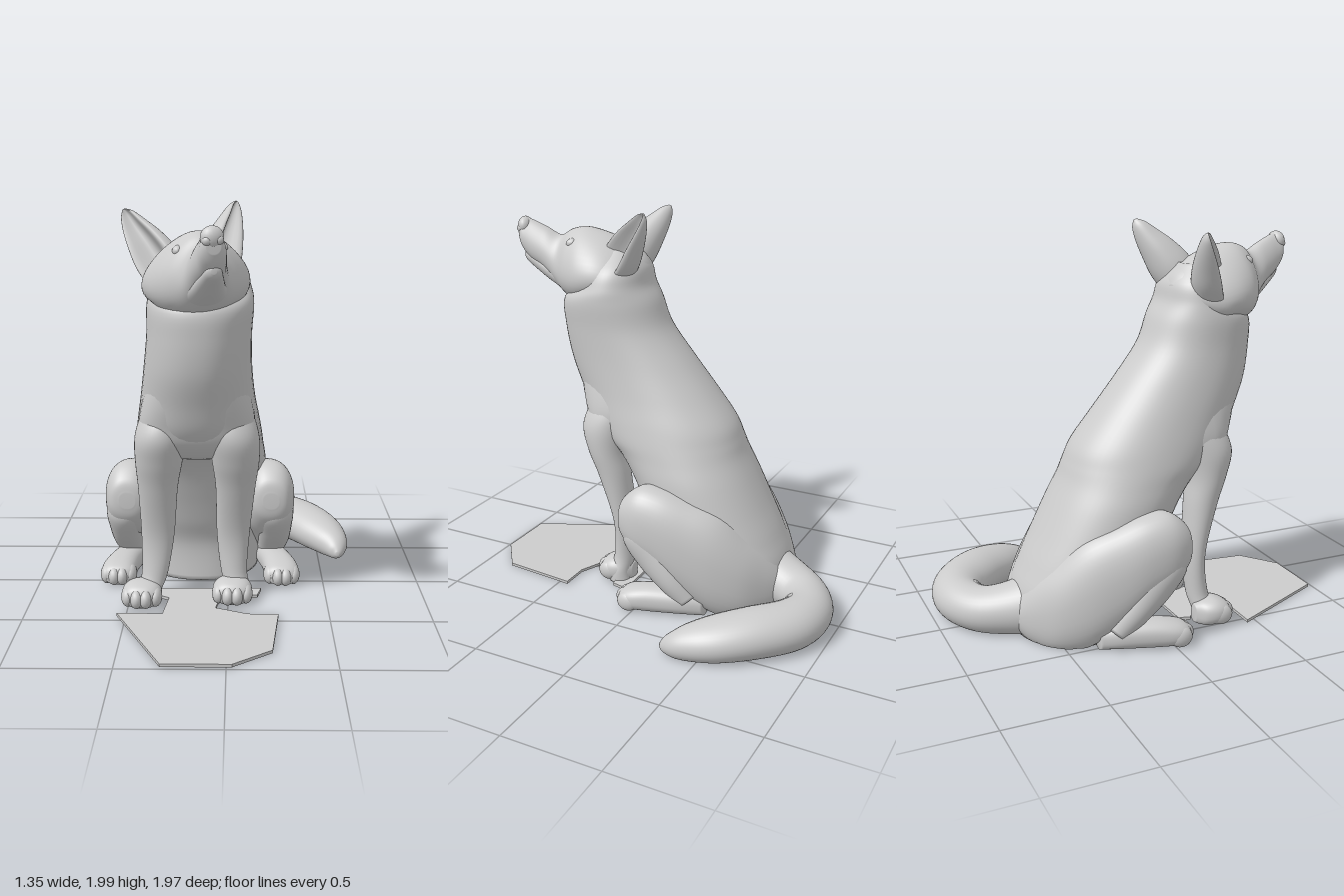
import * as THREE from 'three';

const CX = -0.15; // middle plane of the body
const X = new THREE.Vector3(1, 0, 0);
const Y = new THREE.Vector3(0, 1, 0);
const Z = new THREE.Vector3(0, 0, 1);
const material = new THREE.MeshStandardMaterial({ color: 0xcccccc });

function spline(a, b, c, d, t) {
  return 0.5 * (2 * b + (c - a) * t + (2 * a - 5 * b + 4 * c - d) * t * t + (3 * b - a - 3 * c + d) * t * t * t);
}

// Smooth skin over rings [x, y, z, a, b]: a runs along u, b along v.
// Without u, the rings follow a level path. floor flattens the underside,
// power below 1 squares the rings, dent hollows the +v side.
function loft(name, rows, { u, v = Y, taper = 0, dent = 0, power = 1, floor = 0, steps = 6, sides = 40 } = {}) {
  const rings = [];
  const last = rows.length - 1;
  for (let i = 0; i <= last * steps; i++) {
    const k = Math.min(Math.floor(i / steps), last - 1);
    const t = i / steps - k;
    const r = [-1, 0, 1, 2].map((o) => rows[Math.min(Math.max(k + o, 0), last)]);
    rings.push(r[0].map((_, c) => spline(r[0][c], r[1][c], r[2][c], r[3][c], t)));
  }
  const centres = rings.map((r) => new THREE.Vector3(r[0], r[1], r[2]));
  const pos = [];
  const index = [];
  const put = (p) => pos.push(p.x, Math.max(p.y, floor), p.z);
  const bulge = (n) => Math.sign(n) * Math.abs(n) ** power;
  let facing = 0;
  rings.forEach((r, i) => {
    const dir = centres[Math.min(i + 1, rings.length - 1)].clone().sub(centres[Math.max(i - 1, 0)]);
    const side = u || dir.clone().cross(Y).normalize();
    facing += side.clone().cross(v).dot(dir);
    const a = Math.max(r[3], 0.001);
    const b = Math.max(r[4], 0.001);
    for (let j = 0; j < sides; j++) {
      const ang = (j / sides) * Math.PI * 2;
      const s = bulge(Math.sin(ang));
      const depth = s > 0 ? s - dent * s ** 4 : s;
      put(centres[i].clone().addScaledVector(side, a * bulge(Math.cos(ang)) * (1 - taper * s)).addScaledVector(v, b * depth));
    }
  });
  const tri = (p, q, r) => (facing > 0 ? index.push(p, q, r) : index.push(p, r, q));
  for (let i = 0; i < rings.length - 1; i++) {
    for (let j = 0; j < sides; j++) {
      const p = i * sides + j;
      const q = i * sides + ((j + 1) % sides);
      tri(p, q, p + sides);
      tri(q, q + sides, p + sides);
    }
  }
  // end caps
  const end = rings.length * sides;
  put(centres[0]);
  put(centres[rings.length - 1]);
  for (let j = 0; j < sides; j++) {
    const n = (j + 1) % sides;
    tri(end, n, j);
    tri(end + 1, end - sides + j, end - sides + n);
  }
  const geo = new THREE.BufferGeometry();
  geo.setAttribute('position', new THREE.Float32BufferAttribute(pos, 3));
  geo.setIndex(index);
  geo.computeVertexNormals();
  const mesh = new THREE.Mesh(geo, material);
  mesh.name = name;
  return mesh;
}

function ball(name, x, y, z, rx, ry, rz) {
  const mesh = new THREE.Mesh(new THREE.SphereGeometry(1, 20, 14), material);
  mesh.scale.set(rx, ry, rz);
  mesh.position.set(x, y, z);
  mesh.name = name;
  return mesh;
}

// Four toes in an arc at the front of a paw
function toes(group, x, z, width) {
  for (let i = 0; i < 4; i++) {
    const o = (i - 1.5) / 1.5;
    group.add(ball('toe', x + o * width, 0.051, z - 0.03 * o * o, 0.034, 0.051, 0.058));
  }
}

function makeHead() {
  const head = new THREE.Group();
  head.name = 'head';
  const local = { u: X, floor: -1 };
  head.add(loft('skull', [
    [0, -0.04, -0.24, 0.04, 0.03], [0, -0.04, -0.2, 0.14, 0.09], [0, -0.04, -0.1, 0.22, 0.155],
    [0, -0.02, 0, 0.242, 0.175], [0, -0.015, 0.1, 0.222, 0.192], [0, -0.012, 0.18, 0.168, 0.176],
    [0, -0.005, 0.245, 0.108, 0.135], [0, 0.052, 0.32, 0.08, 0.113], [0, 0.096, 0.4, 0.064, 0.104],
    [0, 0.132, 0.45, 0.054, 0.083], [0, 0.15, 0.472, 0.03, 0.05],
  ], { ...local, taper: 0.3 }));
  head.add(loft('lowerJaw', [
    [0, 0.026, 0.445, 0.012, 0.012], [0, 0.02, 0.43, 0.036, 0.032], [0, -0.012, 0.375, 0.054, 0.044],
    [0, -0.06, 0.29, 0.078, 0.055], [0, -0.1, 0.19, 0.115, 0.065], [0, -0.1, 0.08, 0.15, 0.06],
  ], local));
  head.add(ball('nose', 0, 0.168, 0.445, 0.052, 0.05, 0.038));
  for (const s of [-1, 1]) {
    head.add(ball('nostril', s * 0.025, 0.157, 0.46, 0.022, 0.022, 0.022));
    const eye = ball('eye', s * 0.098, 0.098, 0.15, 0.026, 0.026, 0.036);
    eye.rotation.y = s * 0.4;
    head.add(eye);
    // ear: pointed leaf, hollow on its front and rounded behind
    const base = new THREE.Vector3(s * 0.13, -0.09, -0.1).normalize();
    const axis = new THREE.Vector3(s * 0.12, 0.23, -0.14).normalize();
    const front = base.clone().cross(axis).normalize();
    if (front.z < 0) front.negate();
    head.add(loft('ear', [
      [s * 0.125, -0.03, -0.075, 0.1, 0.11], [s * 0.16, 0.05, -0.12, 0.108, 0.105],
      [s * 0.2, 0.13, -0.17, 0.09, 0.085], [s * 0.238, 0.2, -0.22, 0.062, 0.056],
      [s * 0.262, 0.25, -0.253, 0.036, 0.03], [s * 0.275, 0.275, -0.268, 0.008, 0.007],
    ], { u: base, v: front, dent: 1.4, floor: -1 }));
  }
  // turned and tilted a little towards its left
  head.position.set(CX, 1.7, 0.4);
  head.rotation.set(0, 0.227, 0.06, 'YXZ');
  return head;
}

function makeFrontLeg(s) {
  const leg = new THREE.Group();
  leg.name = s < 0 ? 'rightFrontLeg' : 'leftFrontLeg';
  const back = s > 0 ? 0.045 : 0;
  const inward = s > 0 ? 0.05 : 0;
  const rows = [
    [0.14, 1.12, 0.2, 0.06, 0.1], [0.155, 1.0, 0.255, 0.11, 0.14], [0.178, 0.88, 0.305, 0.125, 0.132],
    [0.188, 0.75, 0.3, 0.116, 0.103], [0.197, 0.6, 0.268, 0.098, 0.082], [0.203, 0.35, 0.232, 0.083, 0.056],
    [0.22, 0.15, 0.245, 0.066, 0.055], [0.25, 0.06, 0.27, 0.062, 0.06], [0.26, 0, 0.27, 0.06, 0.06],
  ].map(([o, y, z, a, b]) => {
    const low = Math.max(0, 1 - y / 0.75);
    return [CX + s * (o - inward * low), y, z - back * low, a, b];
  });
  leg.add(loft('foreleg', rows, { u: X, v: Z }));
  const px = s < 0 ? -0.432 : 0.022;
  const pz = 0.3 - back;
  leg.add(loft('paw', [
    [px, 0.05, pz + 0.085, 0.04, 0.03], [px, 0.055, pz + 0.06, 0.085, 0.055], [px, 0.06, pz, 0.1, 0.07],
    [px, 0.055, pz - 0.06, 0.08, 0.065], [px, 0.05, pz - 0.1, 0.03, 0.045],
  ], { u: X, power: 0.85 }));
  toes(leg, px, pz + 0.055, 0.069);
  return leg;
}

function makeHindLeg(s) {
  const leg = new THREE.Group();
  leg.name = s < 0 ? 'rightHindLeg' : 'leftHindLeg';
  const place = (rows) => rows.map(([o, ...rest]) => [CX + s * o, ...rest]);
  leg.add(loft('thigh', place([
    [0.37, 0.48, 0.112, 0.04, 0.04], [0.37, 0.48, 0.09, 0.09, 0.11], [0.365, 0.465, 0, 0.128, 0.19],
    [0.35, 0.425, -0.12, 0.138, 0.22], [0.315, 0.34, -0.25, 0.145, 0.255], [0.255, 0.25, -0.4, 0.15, 0.27],
    [0.18, 0.17, -0.53, 0.14, 0.21], [0.1, 0.13, -0.62, 0.11, 0.14], [0.07, 0.11, -0.68, 0.04, 0.05],
  ]), { u: X, power: 0.87 }));
  leg.add(loft('shank', place([
    [0.37, 0.5, 0.05, 0.05, 0.05], [0.385, 0.42, 0.01, 0.1, 0.1], [0.395, 0.3, -0.09, 0.092, 0.105],
    [0.39, 0.18, -0.19, 0.085, 0.08], [0.37, 0.08, -0.27, 0.07, 0.06],
  ]), { u: X, v: new THREE.Vector3(0, 0.64, -0.77) }));
  leg.add(loft('hindFoot', place([
    [0.43, 0.045, 0.09, 0.04, 0.03], [0.43, 0.055, 0.065, 0.08, 0.05], [0.43, 0.063, 0, 0.09, 0.064],
    [0.41, 0.068, -0.1, 0.085, 0.07], [0.37, 0.065, -0.25, 0.075, 0.065], [0.35, 0.05, -0.35, 0.04, 0.05],
  ]), { u: X, power: 0.85 }));
  toes(leg, CX + s * 0.43, 0.056, 0.062);
  return leg;
}

export function createModel() {
  const model = new THREE.Group();
  model.name = 'sittingDog';

  // torso and neck: level rings [sideways shift, y, z, half width, half depth]
  model.add(loft('torso', [
    [0, 0, -0.33, 0.31, 0.32], [0, 0.2, -0.33, 0.34, 0.33], [0, 0.35, -0.27, 0.345, 0.335],
    [0, 0.5, -0.2, 0.35, 0.33], [0, 0.65, -0.125, 0.345, 0.33], [0, 0.76, -0.055, 0.33, 0.345],
    [0, 0.84, 0.01, 0.32, 0.38], [0, 0.93, 0.065, 0.305, 0.395], [0, 1.06, 0.142, 0.282, 0.372],
    [0.005, 1.22, 0.238, 0.262, 0.337], [0.015, 1.39, 0.318, 0.25, 0.283], [0.022, 1.53, 0.345, 0.252, 0.25],
    [0.025, 1.61, 0.315, 0.236, 0.175], [0.018, 1.7, 0.305, 0.2, 0.14], [0, 1.79, 0.32, 0.1, 0.08],
  ].map(([o, y, z, a, b]) => [CX + o, y, z, a, b]), { u: X, v: Z, power: 0.92, sides: 56 }));

  // chest joining the tops of the front legs
  model.add(loft('chest', [
    [CX, 0.76, 0.29, 0.1, 0.02], [CX, 0.785, 0.285, 0.19, 0.07], [CX, 0.86, 0.275, 0.27, 0.14],
    [CX, 0.95, 0.26, 0.283, 0.19], [CX, 1.06, 0.24, 0.265, 0.25], [CX, 1.18, 0.22, 0.23, 0.3],
    [CX, 1.3, 0.25, 0.18, 0.25],
  ], { u: X, v: Z, power: 0.78 }));

  model.add(makeHead());
  for (const s of [-1, 1]) model.add(makeFrontLeg(s), makeHindLeg(s));

  // tail lying on the ground, sweeping to the left
  model.add(loft('tail', [
    [-0.15, 0.15, -0.5, 0.2, 0.18], [-0.13, 0.12, -0.64, 0.145, 0.14], [-0.05, 0.1, -0.79, 0.125, 0.115],
    [0.1, 0.1, -0.863, 0.126, 0.115], [0.26, 0.1, -0.825, 0.14, 0.12], [0.41, 0.1, -0.69, 0.146, 0.118],
    [0.52, 0.085, -0.54, 0.135, 0.105], [0.585, 0.065, -0.41, 0.092, 0.08], [0.603, 0.045, -0.33, 0.045, 0.045],
    [0.605, 0.035, -0.3, 0.01, 0.012],
  ]));

  // ground plate, notched around the front paws
  const outline = [
    [-0.545, 0.45], [-0.295, 0.98], [0.025, 0.98], [0.21, 0.84], [0.25, 0.45], [0.1, 0.45], [-0.06, 0.38],
    [-0.04, 0.25], [0.15, 0.22], [0.17, 0.13], [-0.38, 0.14], [-0.4, 0.2], [-0.3, 0.26], [-0.32, 0.45],
  ];
  const shape = new THREE.Shape(outline.map(([x, z]) => new THREE.Vector2(x, -z)));
  const plate = new THREE.Mesh(new THREE.ExtrudeGeometry(shape, { depth: 0.015, bevelEnabled: false }), material);
  plate.rotation.x = -Math.PI / 2;
  plate.name = 'groundPlate';
  model.add(plate);
  return model;
}
